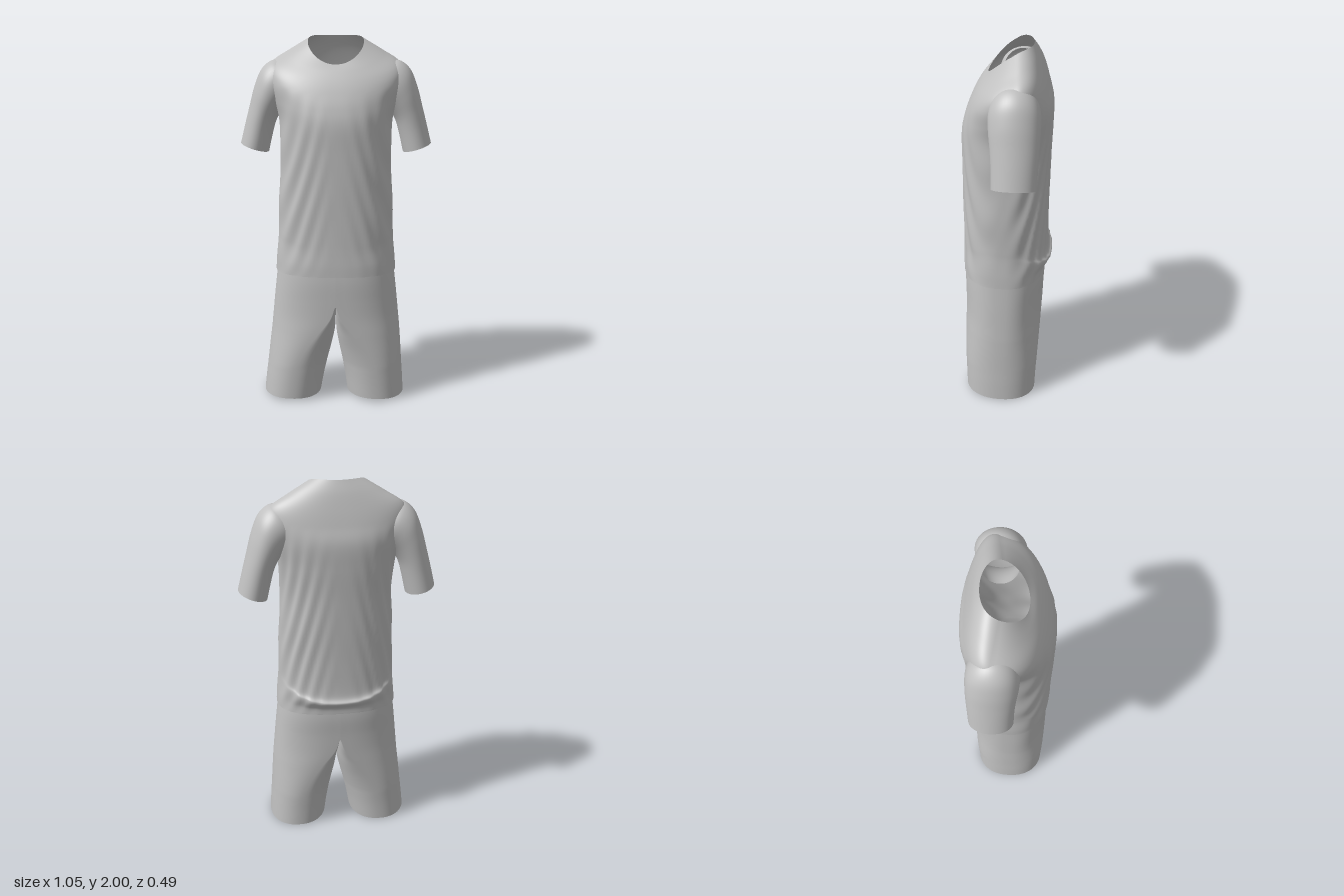
import * as THREE from 'three';

const fabric = new THREE.MeshStandardMaterial({ color: 0xc0c0c0, side: THREE.DoubleSide });
fabric.name = 'light grey fabric';

// Smoothly interpolate a table of rows (Catmull-Rom), u from 0 to 1
function sample(rows, u) {
  const f = u * (rows.length - 1);
  const i = Math.min(Math.floor(f), rows.length - 2), t = f - i;
  const row = k => rows[Math.max(0, Math.min(rows.length - 1, k))];
  return rows[0].map((_, c) => {
    const [a, b, d, e] = [row(i - 1)[c], row(i)[c], row(i + 1)[c], row(i + 2)[c]];
    return b + 0.5 * t * (d - a + t * (2 * a - 5 * b + 4 * d - e + t * (3 * (b - d) + e - a)));
  });
}

// Open tube of rings; point(u, angle) gives [x, y, z]; skip drops inner faces
function loft(name, rings, sides, point, skip = () => false) {
  const pos = [], index = [];
  for (let j = 0; j <= rings; j++)
    for (let i = 0; i < sides; i++) pos.push(...point(j / rings, (i / sides) * Math.PI * 2));
  for (let j = 0; j < rings; j++)
    for (let i = 0; i < sides; i++) {
      const n = (i + 1) % sides;
      const a = j * sides + i, b = j * sides + n, c = a + sides, d = b + sides;
      if (!skip([a, b, c, d].map(k => pos[k * 3]))) index.push(a, c, b, b, c, d);
    }
  const geo = new THREE.BufferGeometry();
  geo.setAttribute('position', new THREE.Float32BufferAttribute(pos, 3));
  geo.setIndex(index);
  geo.computeVertexNormals();
  const mesh = new THREE.Mesh(geo, fabric);
  mesh.name = name;
  return mesh;
}

// Superellipse coordinate
const round = (v, n) => Math.sign(v) * Math.pow(Math.abs(v), 2 / n);

// Shirt body: yFront, ySide, yBack, halfWidth, zFront, zBack, zWidest, exponent
const BODY = [
  [0.735, 0.735, 0.735, 0.332, 0.243, -0.213, 0.01, 2.5],
  [0.79, 0.80, 0.772, 0.328, 0.243, -0.218, 0.01, 2.5],
  [0.86, 0.90, 0.81, 0.318, 0.241, -0.247, 0.01, 2.4],
  [0.92, 0.96, 0.85, 0.316, 0.240, -0.226, 0.01, 2.4],
  [1.05, 1.08, 1.02, 0.314, 0.240, -0.222, 0.01, 2.4],
  [1.22, 1.22, 1.22, 0.306, 0.241, -0.226, 0.0, 2.4],
  [1.40, 1.40, 1.40, 0.300, 0.241, -0.230, 0.0, 2.4],
  [1.54, 1.56, 1.56, 0.308, 0.240, -0.236, -0.03, 2.4],
  [1.63, 1.68, 1.69, 0.335, 0.223, -0.236, -0.05, 2.4],
  [1.71, 1.79, 1.78, 0.362, 0.194, -0.213, -0.06, 2.4],
  [1.77, 1.86, 1.86, 0.345, 0.165, -0.190, -0.06, 2.3],
  [1.82, 1.915, 1.94, 0.255, 0.132, -0.162, -0.045, 2.2],
  [1.855, 1.972, 2.0, 0.150, 0.100, -0.132, -0.03, 2.1],
];

function bodyPoint(u, angle) {
  const [yf, ys, yb, w, zf, zb, zc, n] = sample(BODY, u);
  const c = round(Math.cos(angle), n), s = round(Math.sin(angle), n);
  const y = ys + s * (yf - yb) / 2 + s * s * ((yf + yb) / 2 - ys);
  // slanting drape folds, strongest on the flanks
  const amount = 0.005 * Math.max(0, Math.sin(Math.PI * Math.min(1, u / 0.75))) * Math.abs(Math.sin(2 * angle));
  const fold = 1 + amount / 0.24 * Math.sin(22 * y + 26 * Math.abs(c) + s * 5);
  return [w * c * fold, y, zc + s * fold * (s > 0 ? zf - zc : zc - zb)];
}

// Sleeve: outer x, y, inner x, y, zFront, zBack
const SLEEVE = [
  [0.29, 1.875, 0.17, 1.68, 0.045, -0.155],
  [0.35, 1.868, 0.22, 1.66, 0.065, -0.178],
  [0.405, 1.820, 0.26, 1.635, 0.072, -0.187],
  [0.443, 1.730, 0.295, 1.60, 0.068, -0.187],
  [0.473, 1.620, 0.325, 1.55, 0.058, -0.184],
  [0.498, 1.525, 0.346, 1.48, 0.052, -0.180],
  [0.523, 1.425, 0.370, 1.375, 0.050, -0.176],
];

function sleevePoint(side) {
  return (u, angle) => {
    const [ox, oy, ix, iy, zf, zb] = sample(SLEEVE, u);
    const k = (1 + Math.cos(angle)) / 2, s = Math.sin(angle);
    return [side * (ix + (ox - ix) * k), iy + (oy - iy) * k, (zf + zb) / 2 + s * (zf - zb) / 2];
  };
}

// Shorts leg: y, outer x, inner x, zFront, zBack, share of joined hip shape
const LEG = [
  [0.80, 0.318, 0, 0.232, -0.203, 1],
  [0.70, 0.329, 0, 0.237, -0.208, 1],
  [0.60, 0.340, 0, 0.236, -0.203, 1],
  [0.50, 0.350, 0, 0.234, -0.199, 0.85],
  [0.40, 0.360, 0.004, 0.232, -0.194, 0.45],
  [0.30, 0.370, 0.022, 0.229, -0.188, 0.15],
  [0.20, 0.379, 0.042, 0.226, -0.182, 0],
  [0.11, 0.388, 0.060, 0.223, -0.176, 0],
  [0.015, 0.396, 0.075, 0.220, -0.172, 0],
];

function legPoint(side) {
  return (u, angle) => {
    const [y, ox, ix, zf, zb, hip] = sample(LEG, u);
    const c = Math.cos(angle), s = Math.sin(angle);
    const n = 2.2 + 0.3 * hip;
    const legX = (ox + ix) / 2 + round(c, n) * (ox - ix) / 2;
    const hipX = c > 0 ? ox * round(c, n) : 0;
    let x = Math.max(0, legX + (hipX - legX) * Math.min(1, Math.max(0, hip)));
    if (y > 0.56 && c <= 1e-6) x = 0;
    const low = Math.max(0, 1 - y / 0.4);
    const z = (zf + zb) / 2 + round(s, n) * (zf - zb) / 2;
    return [side * x - 0.01 * low, y + low * (0.008 * s - side * 0.005 * c), z];
  };
}

export function createModel() {
  const model = new THREE.Group();
  model.name = 'shirtAndShorts';

  const shirt = new THREE.Group();
  shirt.name = 'shirt';
  shirt.add(loft('shirtBody', 96, 112, bodyPoint));

  const shorts = new THREE.Group();
  shorts.name = 'shorts';
  const onMiddle = xs => xs.every(x => Math.abs(x) < 1e-4);

  for (const [label, side] of [['left', 1], ['right', -1]]) {
    shirt.add(loft(label + 'Sleeve', 36, 48, sleevePoint(side)));
    shorts.add(loft(label + 'ShortsLeg', 48, 72, legPoint(side), onMiddle));
  }
  model.add(shirt, shorts);
  return model;
}
